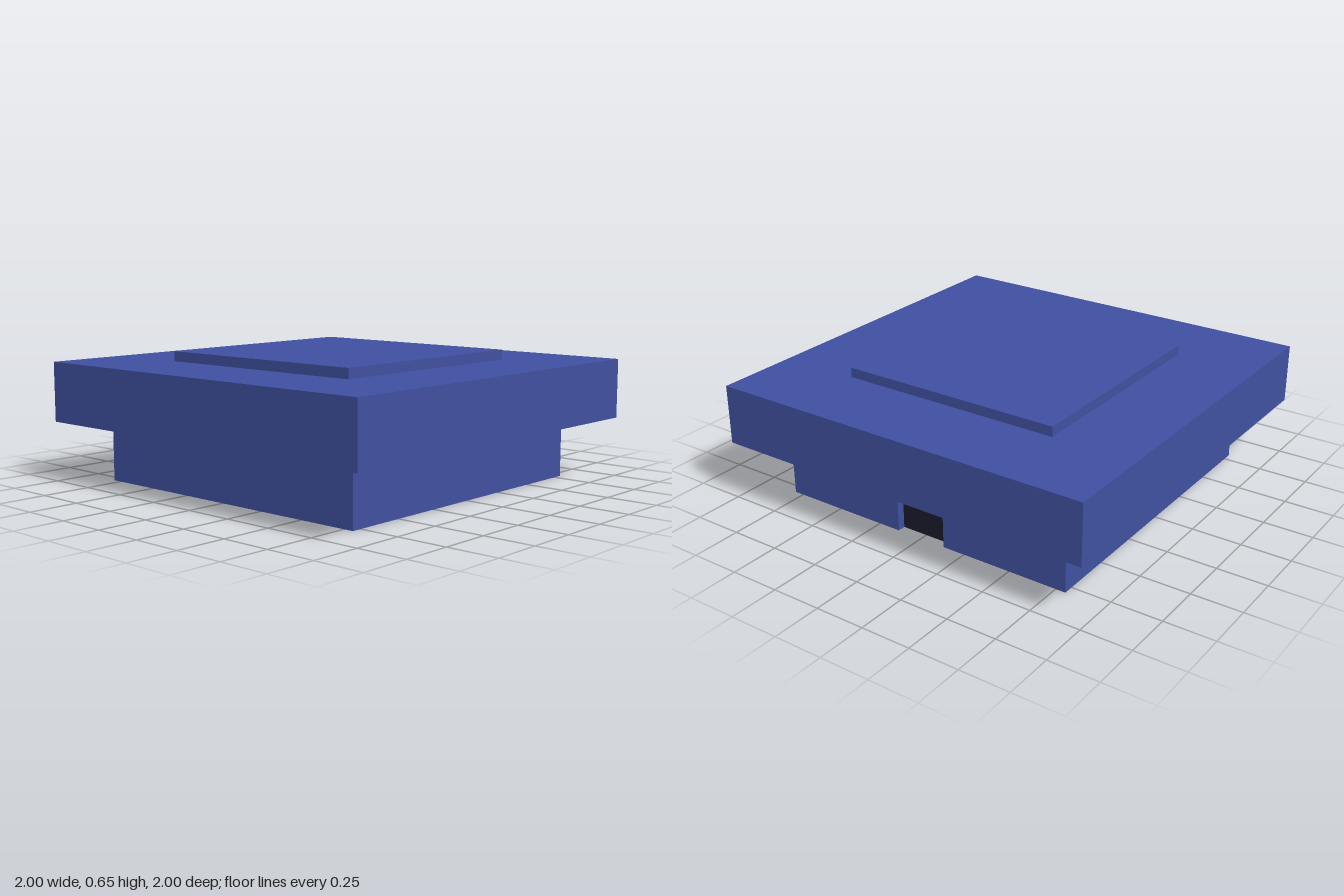
import * as THREE from 'three';

export function createModel() {
  const group = new THREE.Group();
  const blue = new THREE.MeshStandardMaterial({ color: 0x4050a0 });
  blue.name = 'blue';
  const dark = new THREE.MeshStandardMaterial({ color: 0x1a1a2e });
  dark.name = 'dark';

  const add = (name, geometry, material, y, z = 0) => {
    const mesh = new THREE.Mesh(geometry, material);
    mesh.name = name;
    mesh.position.set(0, y, z);
    group.add(mesh);
    return mesh;
  };

  // Base: square footprint with a shallow slot in the back edge
  const half = 0.8, slot = 0.133, depth = 0.04, plate = 0.008;
  const back = half - depth - plate;
  const footprint = new THREE.Shape([
    [-half, -half], [half, -half], [half, half], [slot, half],
    [slot, back], [-slot, back], [-slot, half], [-half, half],
  ].map(([x, y]) => new THREE.Vector2(x, y)));
  const baseGeometry = new THREE.ExtrudeGeometry(footprint, { depth: 0.3, bevelEnabled: false });
  baseGeometry.rotateX(-Math.PI / 2); // shape y becomes -z, extrusion runs up
  add('base', baseGeometry, blue, 0);

  // Dark plate at the bottom of the slot
  add('slotPlate', new THREE.BoxGeometry(slot * 2, 0.3, plate), dark, 0.15, -(back + plate / 2));

  // Overhanging slab and the raised panel on top
  add('slab', new THREE.BoxGeometry(2, 0.3, 2), blue, 0.45);
  add('topPanel', new THREE.BoxGeometry(1.16, 0.05, 1.16), blue, 0.625);

  return group;
}
